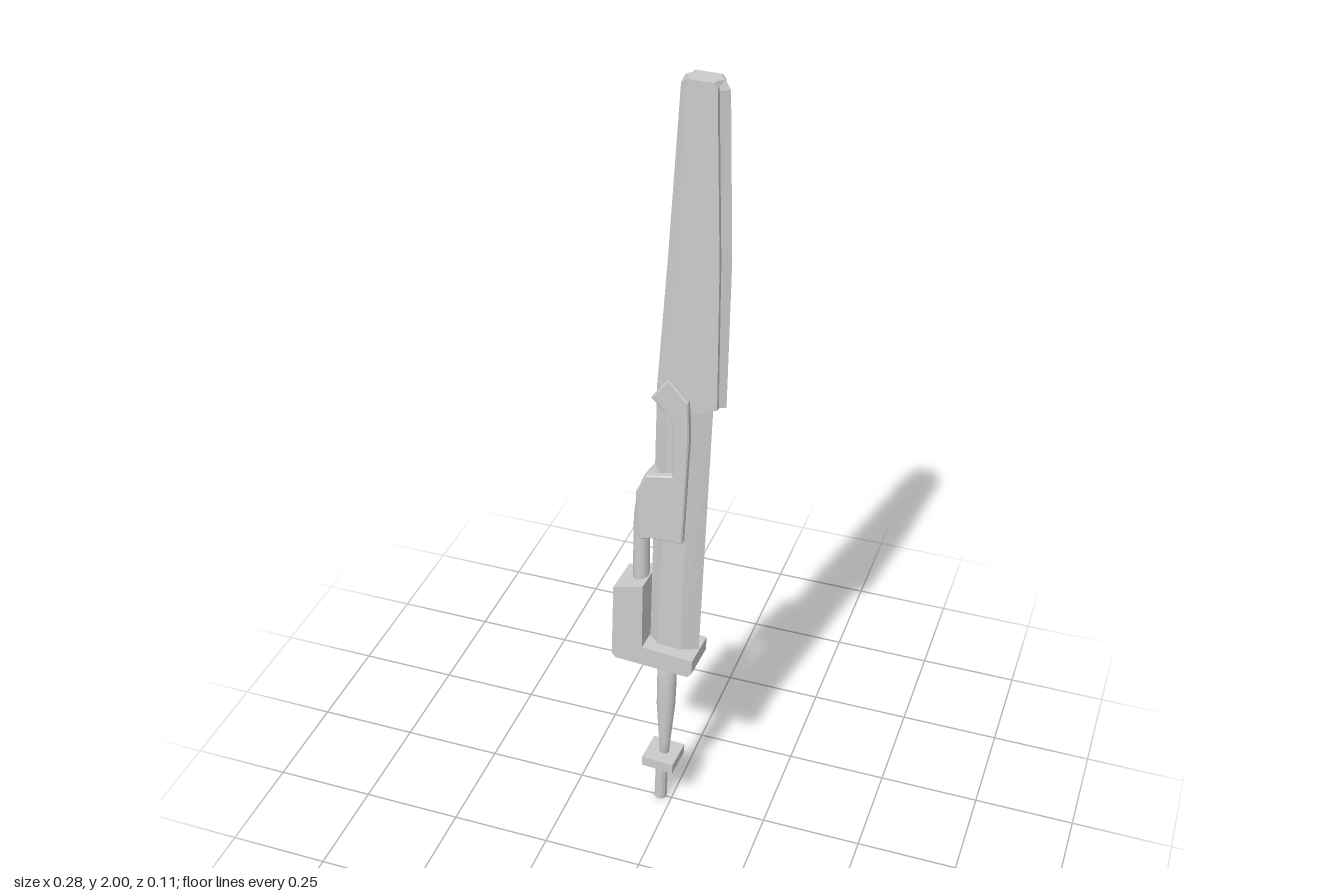
import * as THREE from 'three';

const flat = new THREE.MeshStandardMaterial({ color: 0xcccccc, flatShading: true });
const smooth = new THREE.MeshStandardMaterial({ color: 0xcccccc });

function add(parent, name, geometry, material = flat) {
  const mesh = new THREE.Mesh(geometry, material);
  mesh.name = name;
  parent.add(mesh);
  return mesh;
}

// Slab with an outline in x and y, reaching from z0 to z1
function slab(points, z0, z1, bevel = 0) {
  const shape = new THREE.Shape(points.map(([x, y]) => new THREE.Vector2(x, y)));
  const geometry = new THREE.ExtrudeGeometry(shape, {
    depth: z1 - z0 - 2 * bevel, bevelEnabled: bevel > 0,
    bevelThickness: bevel, bevelSize: bevel, bevelOffset: -bevel, bevelSegments: 1,
  });
  return geometry.translate(0, 0, z0 + bevel);
}

// Six-sided blade: each row is [y back edge, y front edge, back x, back crease x, front crease x, front x]
function bladeLoft(rows, t) {
  const positions = [], index = [];
  for (const [yb, yf, a, b, c, d] of rows) {
    const y = (x) => yb + (yf - yb) * (x - a) / (d - a);
    for (const [x, z] of [[a, 0], [b, t], [c, t], [d, 0], [c, -t], [b, -t]]) positions.push(x, y(x), z);
  }
  for (let r = 0; r < rows.length - 1; r++) {
    for (let i = 0; i < 6; i++) {
      const p = r * 6 + i, q = r * 6 + (i + 1) % 6;
      index.push(p, q, q + 6, p, q + 6, p + 6);
    }
  }
  const top = (rows.length - 1) * 6;
  for (let i = 1; i < 5; i++) {
    index.push(0, i + 1, i);
    index.push(top, top + i, top + i + 1);
  }
  const geometry = new THREE.BufferGeometry();
  geometry.setAttribute('position', new THREE.Float32BufferAttribute(positions, 3));
  geometry.setIndex(index);
  geometry.computeVertexNormals();
  return geometry;
}

export function createModel() {
  const model = new THREE.Group();
  model.name = 'sword';

  // Blade
  add(model, 'upperBlade', bladeLoft([
    [1.25, 1.235, -0.035, 0.01, 0.1, 0.13],
    [1.6, 1.6, -0.007, 0.026, 0.105, 0.136],
    [1.98, 1.98, 0.02, 0.045, 0.1, 0.126],
    [2.0, 2.0, 0.03, 0.045, 0.098, 0.114],
  ], 0.018));
  add(model, 'lowerBlade', bladeLoft([
    [0.5, 0.5, -0.056, -0.03, 0.03, 0.07],
    [1.27, 1.25, -0.034, 0.0, 0.055, 0.1],
  ], 0.02));

  // Panels on both faces of the blade
  const cheek = [[0.01, 1.27], [0.07, 1.22], [0.117, 1.24], [0.117, 1.6], [0.107, 1.99], [0.1, 2], [0.04, 2]];
  const clasp = [
    [-0.07, 0.845], [-0.04, 0.855], [0.04, 0.86], [0.055, 1.15], [0.053, 1.25], [0.005, 1.3],
    [-0.035, 1.245], [0.015, 1.2], [0.015, 1.045], [-0.05, 1.03], [-0.075, 0.98],
  ];
  for (const [side, s] of [['front', 1], ['back', -1]]) {
    const span = (a, b) => (s > 0 ? [a, b] : [-b, -a]);
    add(model, side + 'BladePanel', slab(cheek, ...span(0.014, 0.025)));
    add(model, side + 'Clasp', slab(clasp, ...span(0.018, 0.037), 0.003));
  }

  // Rod along the back of the blade
  const rodPath = new THREE.CatmullRomCurve3([
    [-0.078, 0.65], [-0.076, 0.8], [-0.07, 0.92], [-0.052, 0.99], [-0.02, 1.04],
  ].map(([x, y]) => new THREE.Vector3(x, y, 0)));
  add(model, 'backRod', new THREE.TubeGeometry(rodPath, 24, 0.02, 12), smooth);

  // L-shaped guard
  add(model, 'guard', slab([
    [-0.138, 0.488], [-0.128, 0.477], [0.06, 0.472], [0.071, 0.485], [0.073, 0.525],
    [-0.058, 0.53], [-0.054, 0.718], [-0.13, 0.695],
  ], -0.05, 0.05));

  // Grip, tapering and leaning with the blade
  const grip = new THREE.LatheGeometry([
    [0, 0], [0.012, 0], [0.015, 0.05], [0.024, 0.17], [0.025, 0.25], [0.023, 0.34], [0, 0.34],
  ].map(([r, y]) => new THREE.Vector2(r, y)), 16);
  const gripMesh = add(model, 'grip', grip, smooth);
  gripMesh.position.set(-0.02, 0.15, 0);
  gripMesh.scale.z = 0.8;
  gripMesh.rotation.z = -0.03;

  // Pommel plate and pin
  const plate = add(model, 'pommelPlate', new THREE.BoxGeometry(0.083, 0.028, 0.084));
  plate.position.set(-0.023, 0.144, 0);
  plate.rotation.z = -0.03;
  const pin = add(model, 'pommelPin', new THREE.CylinderGeometry(0.016, 0.016, 0.14, 12));
  pin.position.set(-0.028, 0.0705, 0);
  pin.rotation.z = -0.03;

  model.rotation.y = -0.04;
  return model;
}
